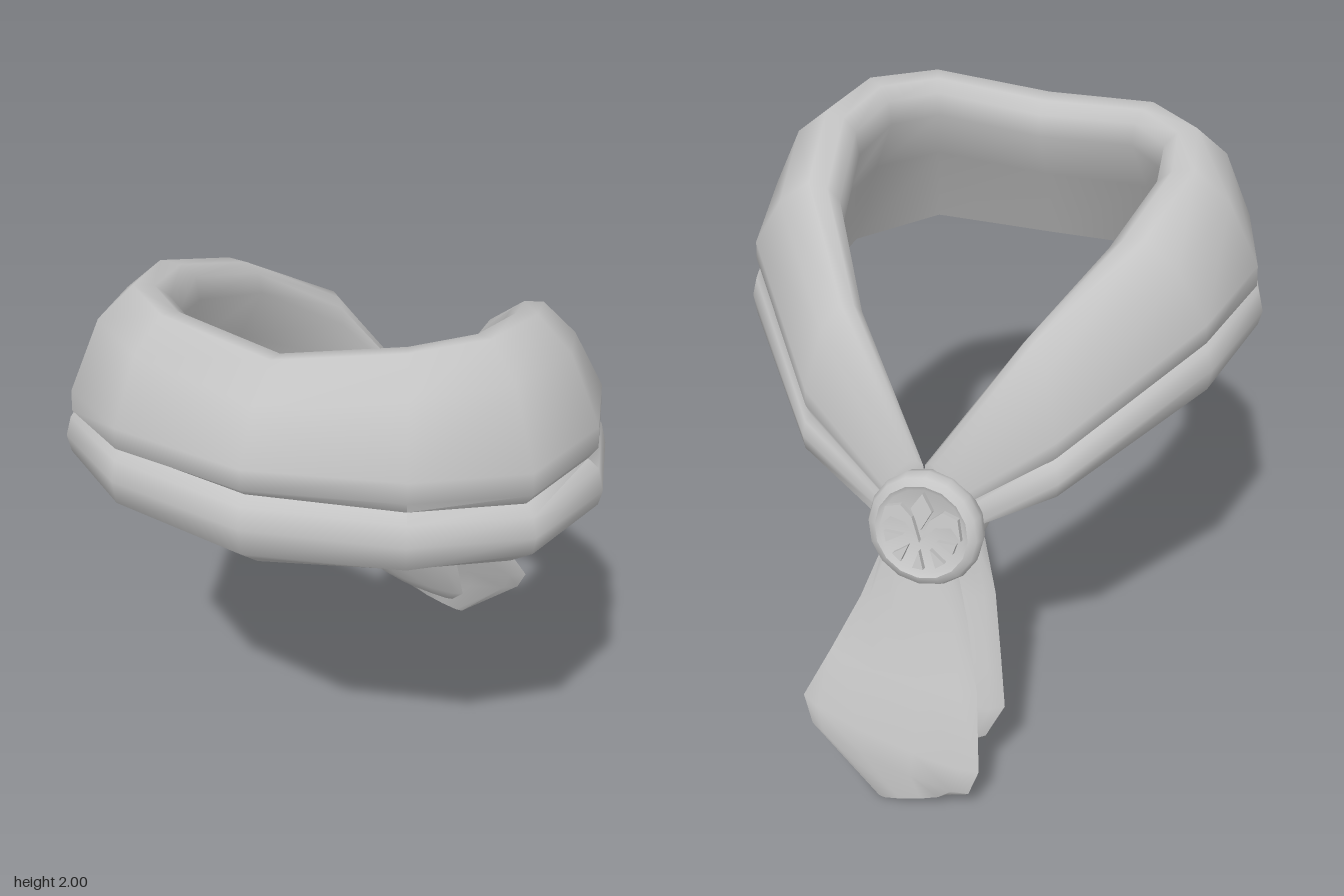
import * as THREE from 'three';
import { toCreasedNormals } from 'three/addons/utils/BufferGeometryUtils.js';

const cloth = new THREE.MeshStandardMaterial({ color: 0xc4c4c4 });
cloth.name = 'light grey';

function addMesh(parent, name, geometry) {
  const mesh = new THREE.Mesh(geometry, cloth);
  mesh.name = name;
  parent.add(mesh);
  return mesh;
}

// Closed skin through a list of equal-length rings, capped at both ends
function loft(rings, crease) {
  const n = rings[0].length;
  const pos = rings.flat(2);
  const index = [];
  for (let i = 0; i < rings.length - 1; i++) {
    for (let j = 0; j < n; j++) {
      const a = i * n + j, b = i * n + (j + 1) % n;
      index.push(a, b, a + n, b, b + n, a + n);
    }
  }
  const addCap = (ring, start, flip) => {
    const c = pos.length / 3;
    for (let k = 0; k < 3; k++) pos.push(ring.reduce((s, p) => s + p[k], 0) / n);
    for (let j = 0; j < n; j++) {
      const a = start + j, b = start + (j + 1) % n;
      index.push(c, flip ? b : a, flip ? a : b);
    }
  };
  addCap(rings[0], 0, true);
  addCap(rings[rings.length - 1], (rings.length - 1) * n, false);
  const g = new THREE.BufferGeometry();
  g.setAttribute('position', new THREE.Float32BufferAttribute(pos, 3));
  g.setIndex(index);
  return toCreasedNormals(g, crease);
}

// Half of the neck band, front to knot: inner x,z | outer x,z |
// heights: top, upper fold, crease, lower roll, lip, hem | how far out the hem lies (0 to 1)
const STATIONS = [
  [0, 0.57, 0, 0.94, 1.93, 1.62, 1.59, 1.50, 1.41, 1.32, 0.68],
  [0.35, 0.51, 0.48, 0.83, 1.98, 1.61, 1.58, 1.49, 1.41, 1.36, 0.74],
  [0.48, 0.38, 0.79, 0.59, 1.98, 1.57, 1.55, 1.46, 1.40, 1.32, 0.70],
  [0.51, 0.16, 0.89, 0.23, 1.95, 1.56, 1.54, 1.44, 1.39, 1.29, 0.57],
  [0.44, -0.15, 0.80, -0.14, 1.84, 1.52, 1.49, 1.40, 1.33, 1.26, 0.63],
  [0.26, -0.43, 0.43, -0.58, 1.61, 1.27, 1.24, 1.17, 1.12, 1.10, 0.52],
  [0, -0.61, 0.12, -0.68, 1.19, 1.07, 1.05, 1.01, 0.97, 0.95, 0.06],
];
const BAND_SHIFT = -0.012; // the band sits slightly off centre

// Cross-section: rim, rounded upper roll, crease, lower roll, sloping inner wall
function bandRing([ix, iz, ox, oz, top, fold, crease, roll, lip, hem, hemT], side) {
  const h = (top - hem) / 0.65;
  const section = [
    [0.03, top - 0.05 * h], [0.15, top - 0.01 * h], [0.33, top], [0.64, top - 0.10 * h],
    [0.92, fold + 0.07 * h], [0.93, fold], [0.85, crease],
    [0.95, crease - 0.025 * h], [1, roll], [0.97, lip], [(0.97 + hemT) / 2, (lip + hem) / 2],
    [hemT, hem], [0.4 * hemT, (top + hem) / 2], [0, top - 0.13 * h],
  ];
  return section.map(([t, y]) => {
    const x = side * (ix + (ox - ix) * t) + BAND_SHIFT;
    const lift = y > crease ? 0.03 * x : 0; // upper roll sits a little higher on the left
    return [x, y + lift, iz + (oz - iz) * t];
  });
}

// Hanging end: rows of left y, left x, right y, right x, centre z, half thickness, z skew
function tail(rows) {
  const sides = 10;
  return loft(rows.map(([yl, xl, yr, xr, z, t, skew = 0]) => Array.from({ length: sides }, (_, j) => {
    const a = (j / sides) * Math.PI * 2;
    const k = (Math.cos(a) + 1) / 2;
    return [xl + (xr - xl) * k, yl + (yr - yl) * k, z + Math.sin(a) * t + skew * (k - 0.5)];
  })), 1.2);
}

function polygon(points) {
  return new THREE.Shape(points.map(([x, y]) => new THREE.Vector2(x, y)));
}

export function createModel() {
  const model = new THREE.Group();
  model.name = 'neckerchief';

  // Neck band, right end round the front to the left end
  const rings = [
    ...STATIONS.slice(1).reverse().map((s) => bandRing(s, -1)),
    ...STATIONS.map((s) => bandRing(s, 1)),
  ];
  addMesh(model, 'neckBand', loft(rings, 1.5));

  // Two hanging ends
  addMesh(model, 'innerTail', tail([
    [1.00, -0.16, 1.00, 0.05, -0.58, 0.05],
    [0.90, -0.20, 0.90, 0.01, -0.57, 0.05],
    [0.72, -0.25, 0.72, 0.04, -0.61, 0.055],
    [0.50, -0.29, 0.50, 0.085, -0.67, 0.06],
    [0.34, -0.32, 0.36, 0.10, -0.72, 0.05],
    [0.24, -0.27, 0.20, 0.11, -0.77, 0.03],
    [0.19, -0.18, 0.15, 0.06, -0.785, 0.014],
  ]));
  addMesh(model, 'outerTail', tail([
    [1.00, -0.12, 1.00, 0.07, -0.63, 0.05],
    [0.88, -0.13, 0.88, 0.11, -0.665, 0.05],
    [0.68, -0.19, 0.68, 0.18, -0.72, 0.05],
    [0.45, -0.25, 0.48, 0.27, -0.79, 0.05, 0.02],
    [0.20, -0.29, 0.31, 0.35, -0.875, 0.045, 0.05],
    [0.11, -0.26, 0.22, 0.31, -0.90, 0.036, 0.04],
    [0.08, -0.18, 0.00, 0.06, -0.92, 0.018],
  ]));

  // Slide: flat loop round the cloth plus a round medallion
  const slide = new THREE.Group();
  slide.name = 'slide';
  model.add(slide);

  const loop = polygon([[-0.13, 0.09], [-0.155, 0.06], [-0.14, -0.12], [0.14, -0.12], [0.155, 0.06], [0.13, 0.09]]);
  loop.holes.push(polygon([[-0.11, 0.05], [0.11, 0.05], [0.11, -0.10], [-0.11, -0.10]]));
  const loopGeo = new THREE.ExtrudeGeometry(loop, {
    depth: 0.06, bevelEnabled: true, bevelThickness: 0.025, bevelSize: 0.02, bevelOffset: -0.02, bevelSegments: 2,
  });
  loopGeo.translate(0, 0, -0.03).rotateX(Math.PI / 2);
  addMesh(slide, 'slideLoop', toCreasedNormals(loopGeo, 0.9)).position.set(-0.05, 0.975, -0.60);

  const medallion = new THREE.Group();
  medallion.name = 'medallion';
  medallion.position.set(-0.05, 1.0, -0.70);
  medallion.rotation.x = -1.34;
  slide.add(medallion);

  const profile = [[0, -0.055], [0.16, -0.055], [0.185, -0.03], [0.192, 0.01], [0.18, 0.04],
    [0.155, 0.052], [0.14, 0.042], [0, 0.042]].map(([r, y]) => new THREE.Vector2(r, y));
  addMesh(medallion, 'medallionDisc', toCreasedNormals(new THREE.LatheGeometry(profile, 16), 0.9));

  // Plain raised relief: a fan of wedges below, leaf shapes above
  const relief = (name, points, turn = 0) => {
    const g = new THREE.ExtrudeGeometry(polygon(points), { depth: 0.024, bevelEnabled: false });
    g.rotateZ(turn).rotateX(-Math.PI / 2).translate(0, 0.038, 0);
    addMesh(medallion, name, g);
  };
  for (let i = -2; i <= 2; i++) {
    relief('wedge', [[0, 0.06], [0.018, 0.12], [-0.018, 0.12]], i * 0.65);
  }
  relief('centreLeaf', [[0, -0.135], [0.035, -0.08], [0, -0.01], [-0.035, -0.08]]);
  for (const s of [-1, 1]) {
    relief('sideLeaf', [[0, 0.03], [s * 0.05, -0.03], [s * 0.10, -0.04], [s * 0.135, 0.0],
      [s * 0.12, -0.07], [s * 0.07, -0.085], [s * 0.03, -0.05]]);
  }
  return model;
}
